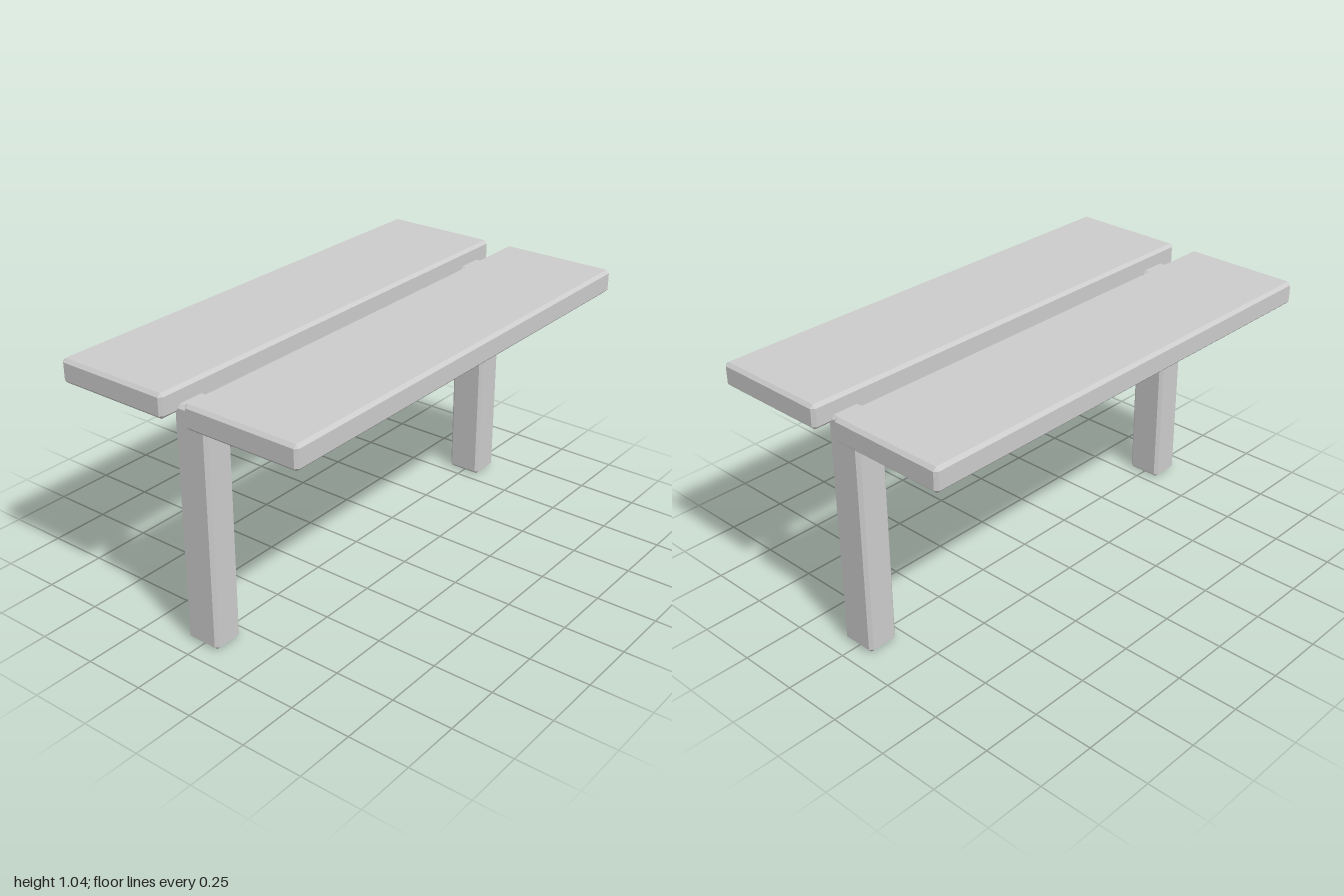
import * as THREE from 'three';
import { ConvexGeometry } from 'three/addons/geometries/ConvexGeometry.js';

const material = new THREE.MeshStandardMaterial({ color: 0xcccccc, flatShading: true });

// Box with every edge cut by a flat chamfer c.
function chamferedBox(name, w, h, d, c) {
  const points = [];
  for (const sx of [-1, 1]) for (const sy of [-1, 1]) for (const sz of [-1, 1]) {
    // Each corner becomes three points, one on each of its faces.
    for (let axis = 0; axis < 3; axis++) {
      const inset = [c, c, c];
      inset[axis] = 0;
      points.push(new THREE.Vector3(
        sx * (w / 2 - inset[0]), sy * (h / 2 - inset[1]), sz * (d / 2 - inset[2])));
    }
  }
  const mesh = new THREE.Mesh(new ConvexGeometry(points), material);
  mesh.name = name;
  return mesh;
}

export function createModel() {
  const group = new THREE.Group();
  group.name = 'plankTable';

  // Two long planks with a gap between them
  for (const [name, side] of [['leftPlank', 1], ['rightPlank', -1]]) {
    const plank = chamferedBox(name, 0.497, 0.097, 2, 0.013);
    plank.position.set(side * 0.3, 0.988, 0);
    group.add(plank);
  }

  // One post at each end, sunk into the planks
  for (const [name, side] of [['frontLeg', 1], ['backLeg', -1]]) {
    const leg = chamferedBox(name, 0.15, 0.972, 0.13, 0.013);
    leg.position.set(0, 0.486, side * 0.857);
    group.add(leg);
  }
  return group;
}
